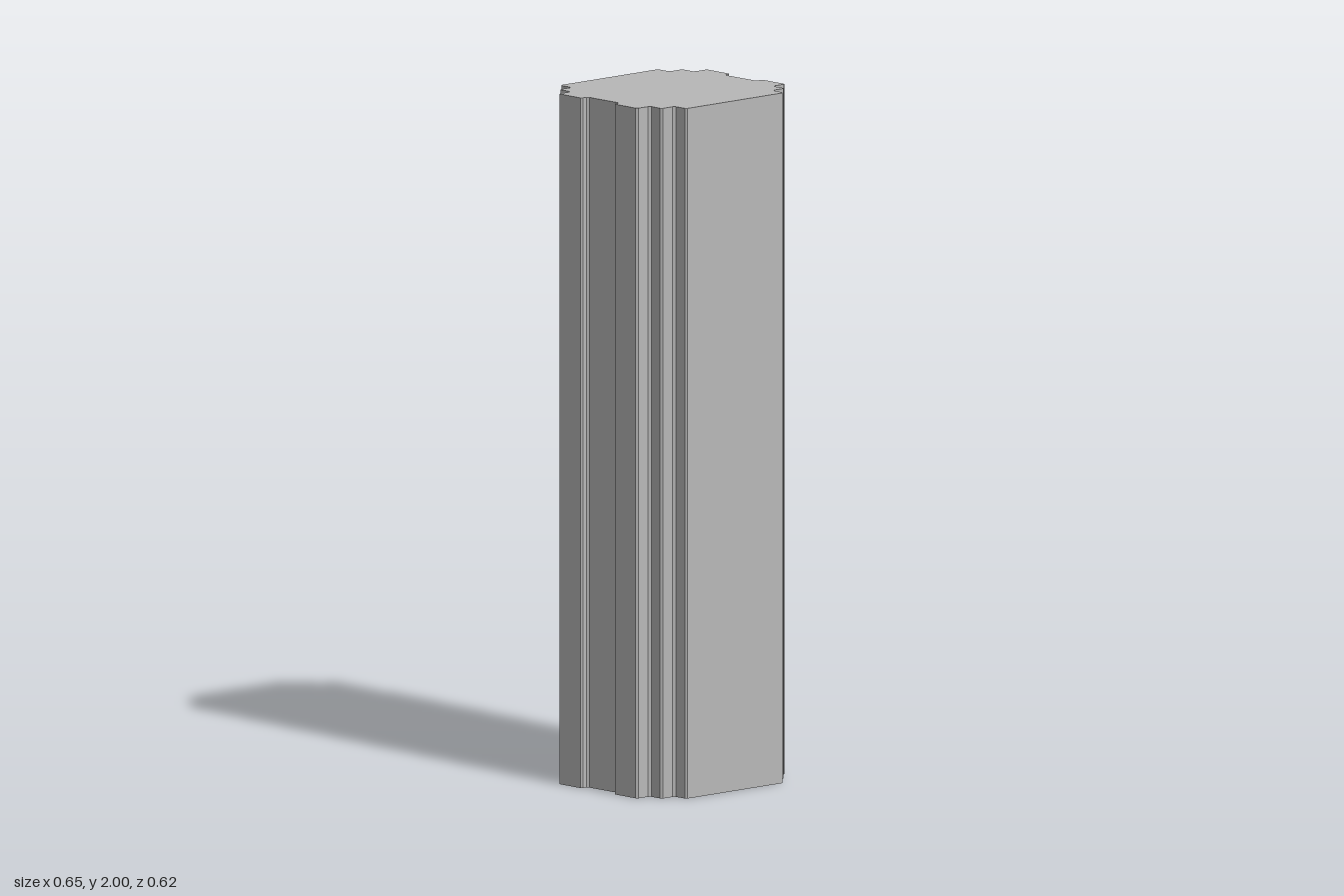
import * as THREE from 'three';

// Half of the stepped outline as [x, z]; the other half is its 180 degree turn
const HALF = [
  [0.1, -0.309], [0.106, -0.305], [0.117, -0.27], [0.126, -0.266],
  [0.162, -0.278], [0.169, -0.273], [0.179, -0.237], [0.188, -0.234],
  [0.224, -0.245], [0.231, -0.241], [0.256, -0.157], [0.253, -0.15],
  [0.242, -0.147], [0.237, -0.138], [0.273, -0.025], [0.281, -0.02],
  [0.293, -0.023], [0.3, -0.02], [0.325, 0.064], [0.321, 0.07],
  [0.287, 0.08], [0.281, 0.089], [0.293, 0.125], [0.29, 0.132],
  [0.255, 0.143], [0.25, 0.152], [0.26, 0.188], [0.256, 0.196],
];

export function createModel() {
  const group = new THREE.Group();
  group.name = 'steppedColumn';

  const grey = new THREE.MeshStandardMaterial({ color: 0xb8b8b8 });
  grey.name = 'grey';

  // Full outline, laid out so that extruding it and tipping it up gives y up
  const outline = [...HALF, ...HALF.map(([x, z]) => [-x, -z])];
  const shape = new THREE.Shape(outline.map(([x, z]) => new THREE.Vector2(x, -z)));

  // Straight shaft with chamfered steps and flat ends
  const geometry = new THREE.ExtrudeGeometry(shape, { depth: 2, bevelEnabled: false });
  geometry.rotateX(-Math.PI / 2);

  const shaft = new THREE.Mesh(geometry, grey);
  shaft.name = 'shaft';
  group.add(shaft);
  return group;
}
